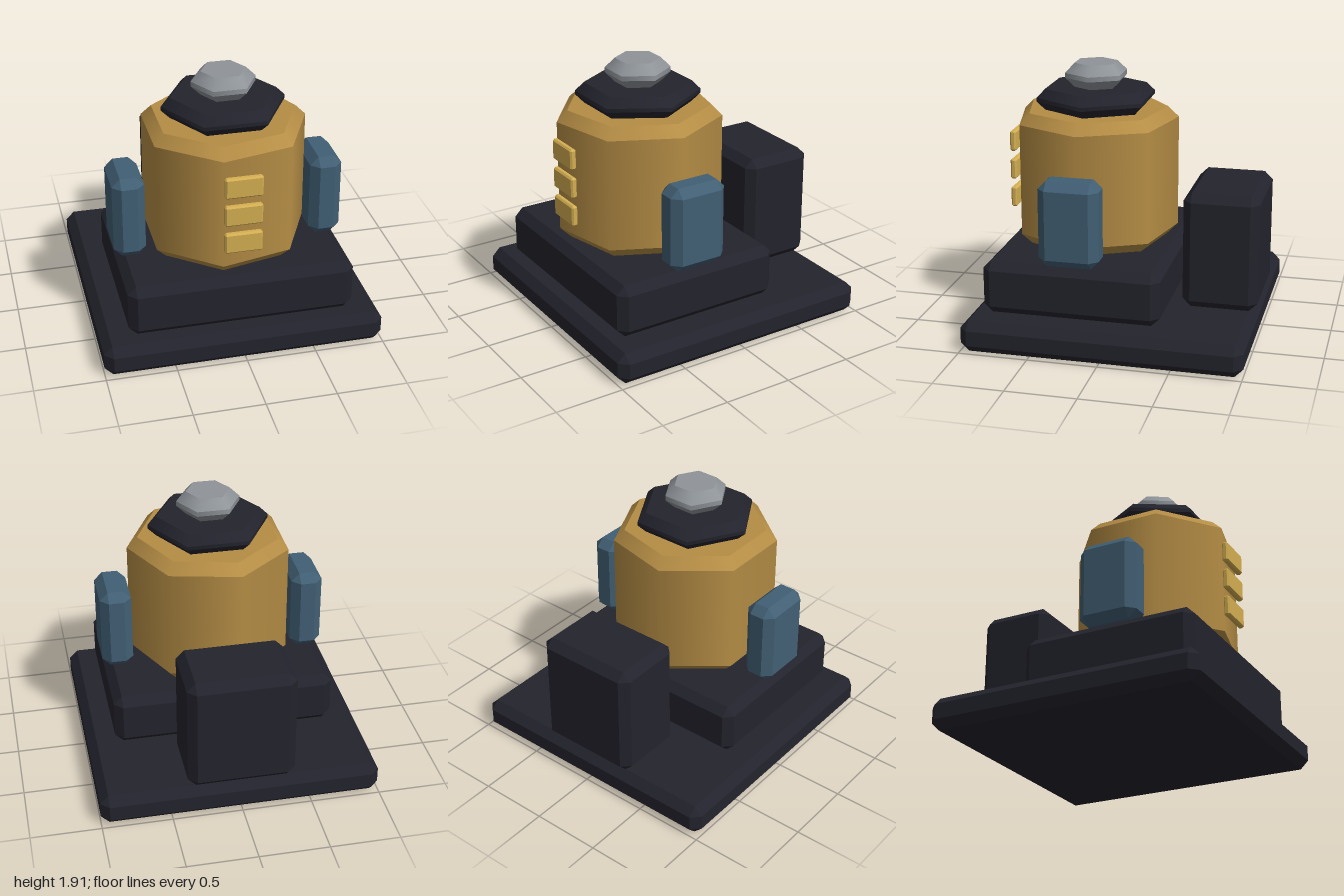
import * as THREE from 'three';
import { mergeGeometries } from 'three/addons/utils/BufferGeometryUtils.js';
import { ConvexGeometry } from 'three/addons/geometries/ConvexGeometry.js';

function material(name, color) {
  const m = new THREE.MeshStandardMaterial({ color });
  m.name = name;
  return m;
}

// Box with every edge chamfered by c
function chamferBox(w, h, d, c) {
  const [a, b, e] = [w / 2, h / 2, d / 2];
  const points = [];
  for (const x of [-1, 1]) for (const y of [-1, 1]) for (const z of [-1, 1]) {
    points.push(
      new THREE.Vector3(x * a, y * (b - c), z * (e - c)),
      new THREE.Vector3(x * (a - c), y * b, z * (e - c)),
      new THREE.Vector3(x * (a - c), y * (b - c), z * e),
    );
  }
  return new ConvexGeometry(points);
}

// Upright prism standing on y = 0, chamfered at both ends, smooth around, one corner at +x
function chamferPrism(sides, r, h, c) {
  const ring = (top, bottom, height, y) =>
    new THREE.CylinderGeometry(top, bottom, height, sides, 1, true, Math.PI / 2).translate(0, y, 0);
  const cap = (flip, y) =>
    new THREE.CircleGeometry(r - c, sides).rotateX(flip * Math.PI / 2).translate(0, y, 0);
  return mergeGeometries([
    ring(r, r - c, c, c / 2),
    ring(r, r, h - 2 * c, h / 2),
    ring(r - c, r, c, h - c / 2),
    cap(1, 0),
    cap(-1, h),
  ]);
}

export function createModel() {
  const model = new THREE.Group();
  model.name = 'machine';

  const dark = material('dark metal', 0x23232d);
  const brass = material('brass', 0xb58d45);
  const gold = material('bright gold', 0xd4af52);
  const blue = material('blue steel', 0x415f74);
  const grey = material('grey metal', 0x8f9499);

  function add(name, geometry, mat, x, y, z) {
    const mesh = new THREE.Mesh(geometry, mat);
    mesh.name = name;
    mesh.position.set(x, y, z);
    model.add(mesh);
  }

  // Stepped base and rear cabinet
  add('base', chamferBox(2, 0.23, 2, 0.06), dark, 0, 0.115, 0);
  add('plinth', chamferBox(1.61, 0.385, 1.27, 0.06), dark, 0, 0.4225, 0.25);
  add('rearCabinet', chamferBox(0.765, 0.85, 0.54, 0.06), dark, 0, 0.655, -0.73);

  // Drum with collar and cap stacked on top
  add('drum', chamferPrism(7, 0.595, 0.965, 0.077), brass, 0, 0.615, 0.25);
  add('collar', chamferPrism(6, 0.44, 0.152, 0.062), dark, 0, 1.58, 0.25);
  add('cap', chamferPrism(6, 0.23, 0.175, 0.07), grey, 0, 1.732, 0.25);

  // Side tanks
  for (const [name, side] of [['leftTank', 1], ['rightTank', -1]]) {
    add(name, chamferBox(0.23, 0.615, 0.43, 0.06), blue, side * 0.71, 0.9235, 0.255);
  }

  // Front panels
  for (let i = 0; i < 3; i++) {
    add('frontPanel' + (i + 1), chamferBox(0.265, 0.152, 0.046, 0.012), gold, 0, 0.89 + i * 0.212, 0.848);
  }

  return model;
}
